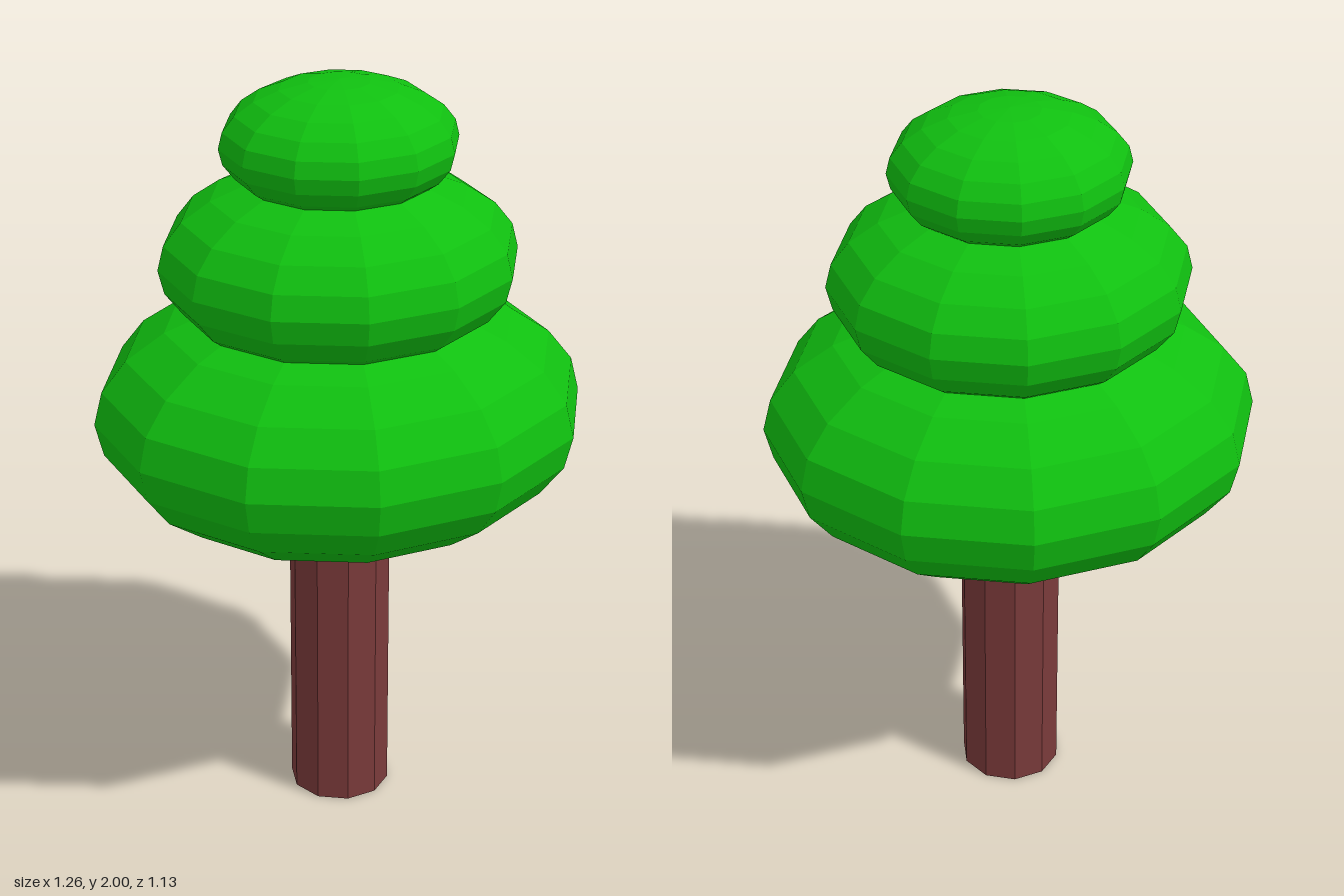
import * as THREE from 'three';

export function createModel() {
  const tree = new THREE.Group();
  tree.name = 'tree';

  const bark = new THREE.MeshStandardMaterial({ color: 0x7a3a3a, flatShading: true });
  const leaves = new THREE.MeshStandardMaterial({ color: 0x10c010, flatShading: true });

  // Ten-sided trunk, running up into the lowest layer of foliage
  const trunkHeight = 0.9;
  const trunk = new THREE.Mesh(
    new THREE.CylinderGeometry(0.132, 0.132, trunkHeight, 10).translate(0, trunkHeight / 2, 0),
    bark
  );
  trunk.name = 'trunk';
  tree.add(trunk);

  // Flattened faceted foliage layers: name, centre height, radii in x, y, z
  const layers = [
    ['lowerFoliage', 1.12, 0.63, 0.34, 0.565],
    ['middleFoliage', 1.53, 0.457, 0.246, 0.41],
    ['topFoliage', 1.838, 0.3, 0.162, 0.27],
  ];
  for (const [name, y, rx, ry, rz] of layers) {
    const layer = new THREE.Mesh(new THREE.SphereGeometry(1, 12, 12).scale(rx, ry, rz), leaves);
    layer.position.y = y;
    layer.name = name;
    tree.add(layer);
  }

  return tree;
}
